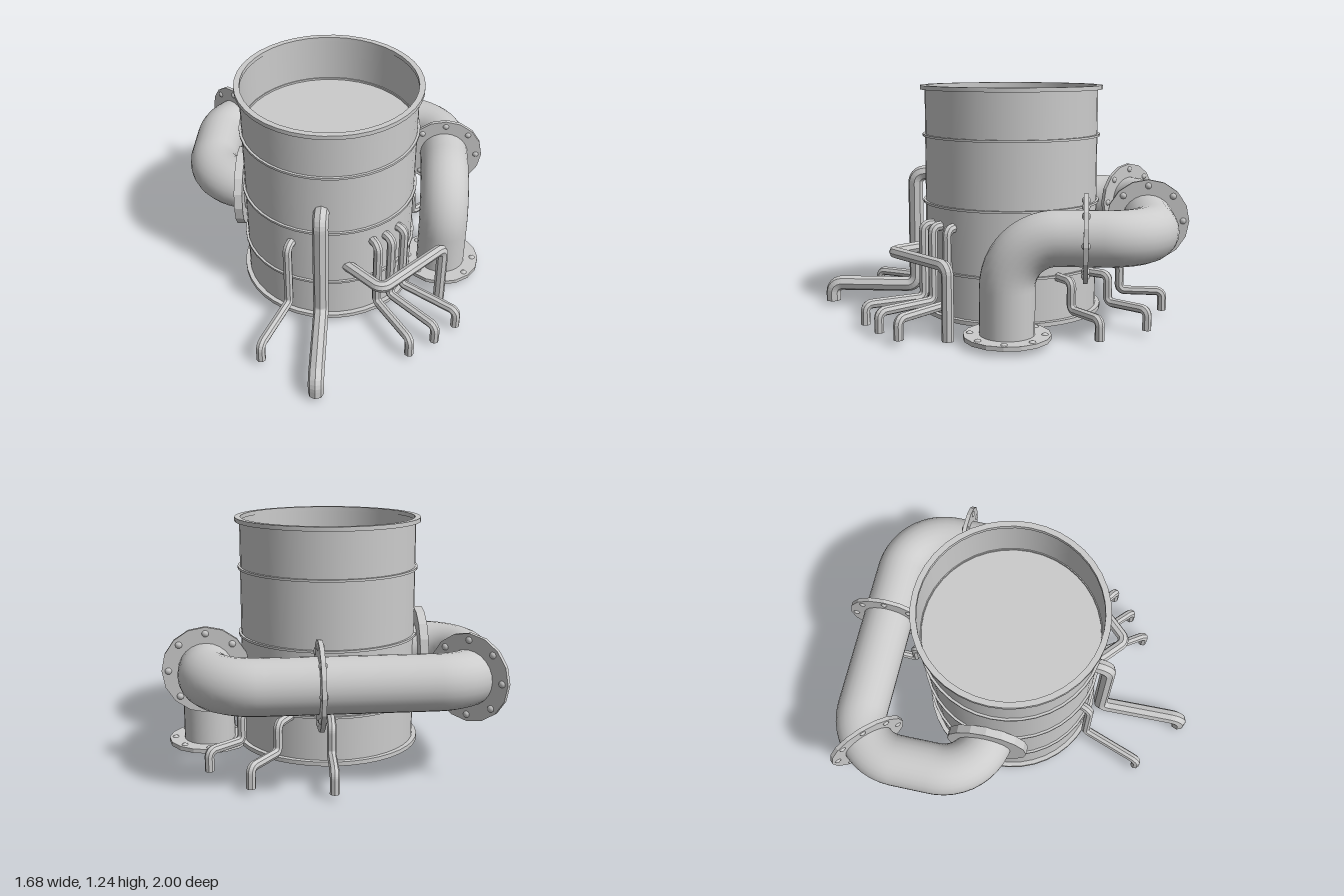
import * as THREE from 'three';
import { toCreasedNormals } from 'three/addons/utils/BufferGeometryUtils.js';

const V = (x, y, z) => new THREE.Vector3(x, y, z);
const UP = V(0, 1, 0);
const CX = -0.02, CZ = -0.05; // tank axis

const smooth = new THREE.MeshStandardMaterial({ color: 0xcccccc });
const shell = new THREE.MeshStandardMaterial({ color: 0xcccccc, side: THREE.DoubleSide });
const faceted = new THREE.MeshStandardMaterial({ color: 0xcccccc, flatShading: true });

function add(parent, name, geometry, material) {
  const mesh = new THREE.Mesh(geometry, material);
  mesh.name = name;
  parent.add(mesh);
  return mesh;
}

// Circular arc between two straight runs
class Elbow extends THREE.Curve {
  constructor(corner, dirIn, dirOut, r) {
    super();
    Object.assign(this, { dirIn, dirOut, r });
    this.turn = dirIn.angleTo(dirOut);
    const t = r * Math.tan(this.turn / 2);
    this.start = corner.clone().addScaledVector(dirIn, -t);
    this.end = corner.clone().addScaledVector(dirOut, t);
    this.side = dirOut.clone().addScaledVector(dirIn, -dirIn.dot(dirOut)).normalize();
  }
  getPoint(t, target = V(0, 0, 0)) {
    const a = t * this.turn;
    return target.copy(this.start)
      .addScaledVector(this.dirIn, this.r * Math.sin(a))
      .addScaledVector(this.side, this.r * (1 - Math.cos(a)));
  }
}

// Path through corner points, every corner rounded by radius r
function roundedPath(points, r) {
  const path = new THREE.CurvePath();
  let from = points[0];
  for (let i = 1; i < points.length - 1; i++) {
    const dirIn = points[i].clone().sub(points[i - 1]).normalize();
    const dirOut = points[i + 1].clone().sub(points[i]).normalize();
    const elbow = new Elbow(points[i], dirIn, dirOut, r);
    path.add(new THREE.LineCurve3(from, elbow.start));
    path.add(elbow);
    from = elbow.end;
  }
  path.add(new THREE.LineCurve3(from, points[points.length - 1]));
  return path;
}

function pipe(parent, name, points, radius, bend, sides, material) {
  const path = roundedPath(points, bend);
  add(parent, name, new THREE.TubeGeometry(path, 90, radius, sides), material);
  // Closed lower end
  const first = points[0], last = points[points.length - 1];
  const [end, prev] = first.y < last.y ? [first, points[1]] : [last, points[points.length - 2]];
  const cap = add(parent, name + 'Cap', new THREE.CircleGeometry(radius, sides), material);
  cap.position.copy(end);
  cap.quaternion.setFromUnitVectors(V(0, 0, 1), end.clone().sub(prev).normalize());
}

// Bolted disc whose axis follows the pipe
function flange(parent, position, axis, thickness = 0.022) {
  const group = new THREE.Group();
  group.name = 'flange';
  add(group, 'flangeDisc', new THREE.CylinderGeometry(0.218, 0.218, thickness, 16), faceted);
  for (let i = 0; i < 8; i++) {
    const a = i * Math.PI / 4;
    const bolt = add(group, 'bolt', new THREE.SphereGeometry(0.021, 10, 8), smooth);
    bolt.position.set(0.185 * Math.cos(a), 0, 0.185 * Math.sin(a));
  }
  group.position.copy(position);
  group.quaternion.setFromUnitVectors(UP, axis.normalize());
  parent.add(group);
}

function makeTank() {
  const tank = new THREE.Group();
  tank.name = 'tank';
  tank.position.set(CX, 0, CZ);

  const wall = add(tank, 'tankWall', new THREE.CylinderGeometry(0.465, 0.465, 1.2, 40, 1, true), shell);
  wall.position.y = 0.633;
  const bottom = add(tank, 'tankBottom', new THREE.CircleGeometry(0.47, 40), shell);
  bottom.rotation.x = Math.PI / 2;
  bottom.position.y = 0.035;
  const lid = add(tank, 'sunkenLid', new THREE.CircleGeometry(0.465, 40), shell);
  lid.rotation.x = -Math.PI / 2;
  lid.position.y = 0.97;

  // Rims at both ends and three thin hoops: [height, outer radius, thickness]
  for (const [y, r, h] of [[0.04, 0.49, 0.022], [0.28, 0.478, 0.012], [0.62, 0.478, 0.012],
    [0.975, 0.478, 0.012], [1.228, 0.49, 0.022]]) {
    const inner = 0.46;
    const profile = [[inner, -h / 2], [r, -h / 2], [r, h / 2], [inner, h / 2], [inner, -h / 2]]
      .map(([x, yy]) => new THREE.Vector2(x, yy));
    const hoop = add(tank, 'hoop', toCreasedNormals(new THREE.LatheGeometry(profile, 40), 0.6), smooth);
    hoop.position.y = y;
  }
  return tank;
}

function makeMainPipe() {
  const group = new THREE.Group();
  group.name = 'mainPipe';
  const y = 0.53;
  pipe(group, 'mainPipeRun', [
    V(0.625, 0.035, -0.08), V(0.625, y, -0.08), V(0.625, y, -0.785),
    V(-0.705, y, -0.785), V(-0.705, y, -0.08), V(-0.45, y, -0.08),
  ], 0.137, 0.245, 24, smooth);

  flange(group, V(0.625, 0.04, -0.08), V(0, 1, 0));
  flange(group, V(0.625, y, -0.457), V(0, 0, 1));
  flange(group, V(0.09, y, -0.785), V(1, 0, 0));
  flange(group, V(-0.634, y, -0.714), V(1, 0, -1));
  flange(group, V(-0.505, y, -0.08), V(1, 0, 0), 0.045);
  return group;
}

// Thin pipe leaving the tank, dropping, running outwards and ending in the ground.
// riser and foot are [x, z] positions of the two vertical runs.
function drain(parent, name, riser, foot, top, low, radius) {
  const inward = V(CX - riser[0], 0, CZ - riser[1]).setLength(0.15);
  pipe(parent, name, [
    V(riser[0], top, riser[1]).add(inward), V(riser[0], top, riser[1]),
    V(riser[0], low, riser[1]), V(foot[0], low, foot[1]), V(foot[0], 0.025, foot[1]),
  ], radius, radius * 1.3, 8, faceted);
}

function makeSmallPipes() {
  const group = new THREE.Group();
  group.name = 'smallPipes';
  drain(group, 'frontPipe', [-0.035, 0.48], [-0.028, 0.958], 0.755, 0.125, 0.041);
  drain(group, 'frontRightPipe', [-0.212, 0.425], [-0.33, 0.75], 0.52, 0.13, 0.025);
  for (const [riser, foot] of [
    [[0.26, 0.39], [0.44, 0.665]],
    [[0.33, 0.33], [0.575, 0.565]],
    [[0.395, 0.245], [0.69, 0.445]],
  ]) drain(group, 'frontLeftPipe', riser, foot, 0.52, 0.13, 0.025);
  for (const [riser, foot] of [
    [[0.455, -0.39], [0.62, -0.53]],
    [[0.28, -0.575], [0.42, -0.77]],
    [[0.02, -0.645], [0.03, -0.875]],
  ]) drain(group, 'backPipe', riser, foot, 0.275, 0.13, 0.024);

  // Elbowed pipe that runs level before dropping to the ground
  pipe(group, 'levelPipe', [
    V(0.06, 0.377, 0.35), V(0.285, 0.377, 0.555), V(0.61, 0.377, 0.215), V(0.61, 0, 0.215),
  ], 0.031, 0.045, 8, faceted);
  return group;
}

export function createModel() {
  const model = new THREE.Group();
  model.name = 'tankWithPipes';
  model.add(makeTank(), makeMainPipe(), makeSmallPipes());
  return model;
}
